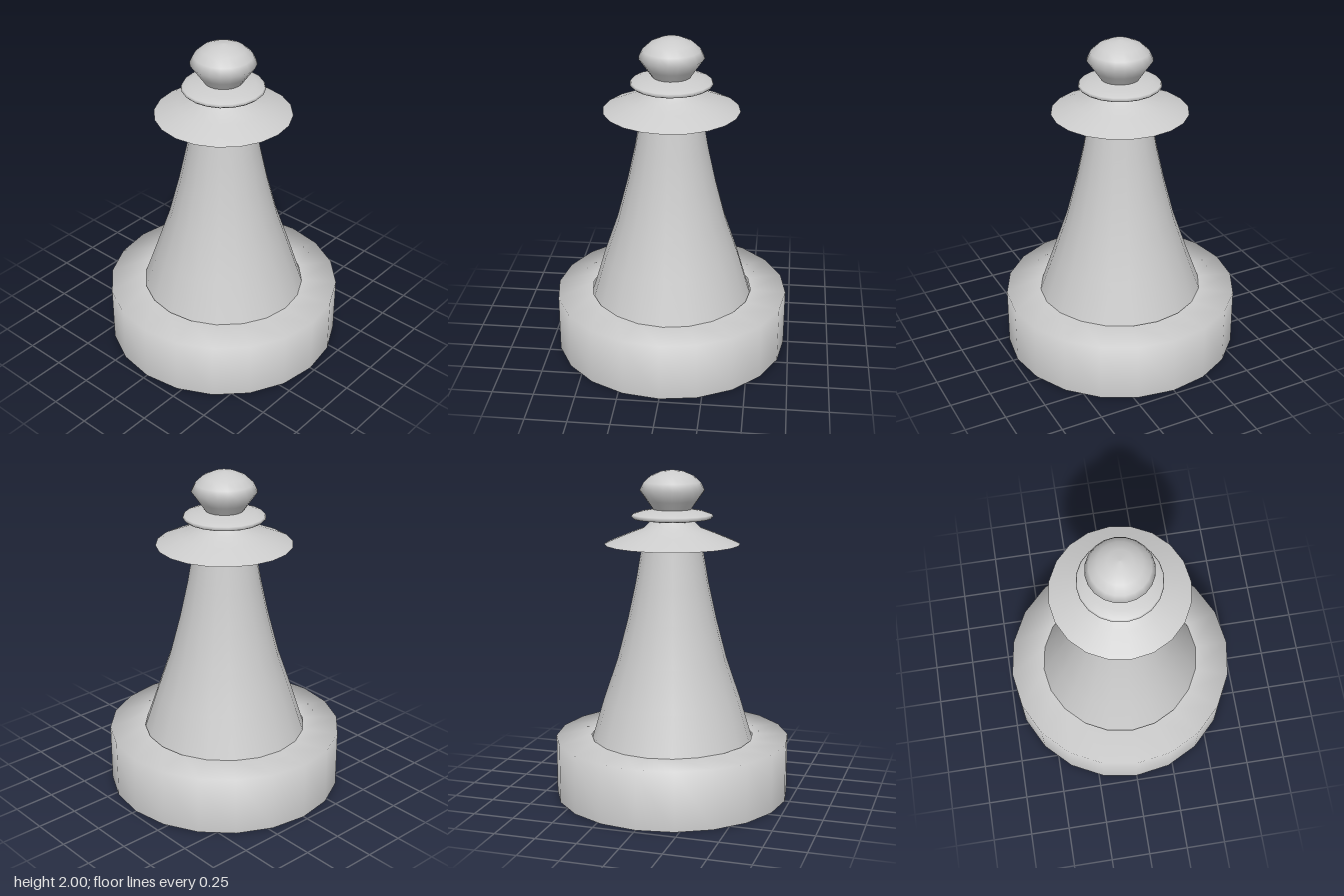
import * as THREE from 'three';

const SIDES = 20;

export function createModel() {
  const group = new THREE.Group();
  const material = new THREE.MeshStandardMaterial({ color: 0xcccccc, side: THREE.DoubleSide });

  // Turned part from [radius, height] pairs, listed bottom to top
  const turned = (name, profile) => {
    const points = profile.map(([r, y]) => new THREE.Vector2(r, y));
    const mesh = new THREE.Mesh(new THREE.LatheGeometry(points, SIDES), material);
    mesh.name = name;
    group.add(mesh);
    return mesh;
  };

  // Hollow drum, open below, with a hole in its top
  turned('base', [[0.72, 0], [0.72, 0.36], [0.5, 0.365]]);

  // Flared body, its lower end sunk a little into the base
  const body = turned('body', [
    [0.523, 0.325], [0.51, 0.36], [0.42, 0.6], [0.335, 0.85],
    [0.27, 1.1], [0.222, 1.32], [0.18, 1.56],
  ]);
  // The foot of the body is slightly narrower from side to side
  const pos = body.geometry.attributes.position;
  for (let i = 0; i < pos.count; i++) {
    if (pos.getY(i) < 0.4) pos.setX(i, pos.getX(i) * 0.96);
  }

  // Wide sloping brim with a flat underside
  turned('brimUnderside', [[0.17, 1.56], [0.41, 1.557]]);
  turned('brim', [[0.41, 1.557], [0.375, 1.573], [0.27, 1.617], [0.17, 1.655], [0.13, 1.695]]);

  // Thin collar
  turned('collar', [
    [0.13, 1.695], [0.235, 1.71], [0.247, 1.722], [0.24, 1.735], [0.19, 1.752], [0.115, 1.765],
  ]);

  // Rounded knob on a narrow neck
  turned('knob', [
    [0.115, 1.765], [0.15, 1.815], [0.195, 1.878], [0.172, 1.925],
    [0.128, 1.965], [0.07, 1.991], [0, 2],
  ]);

  return group;
}
